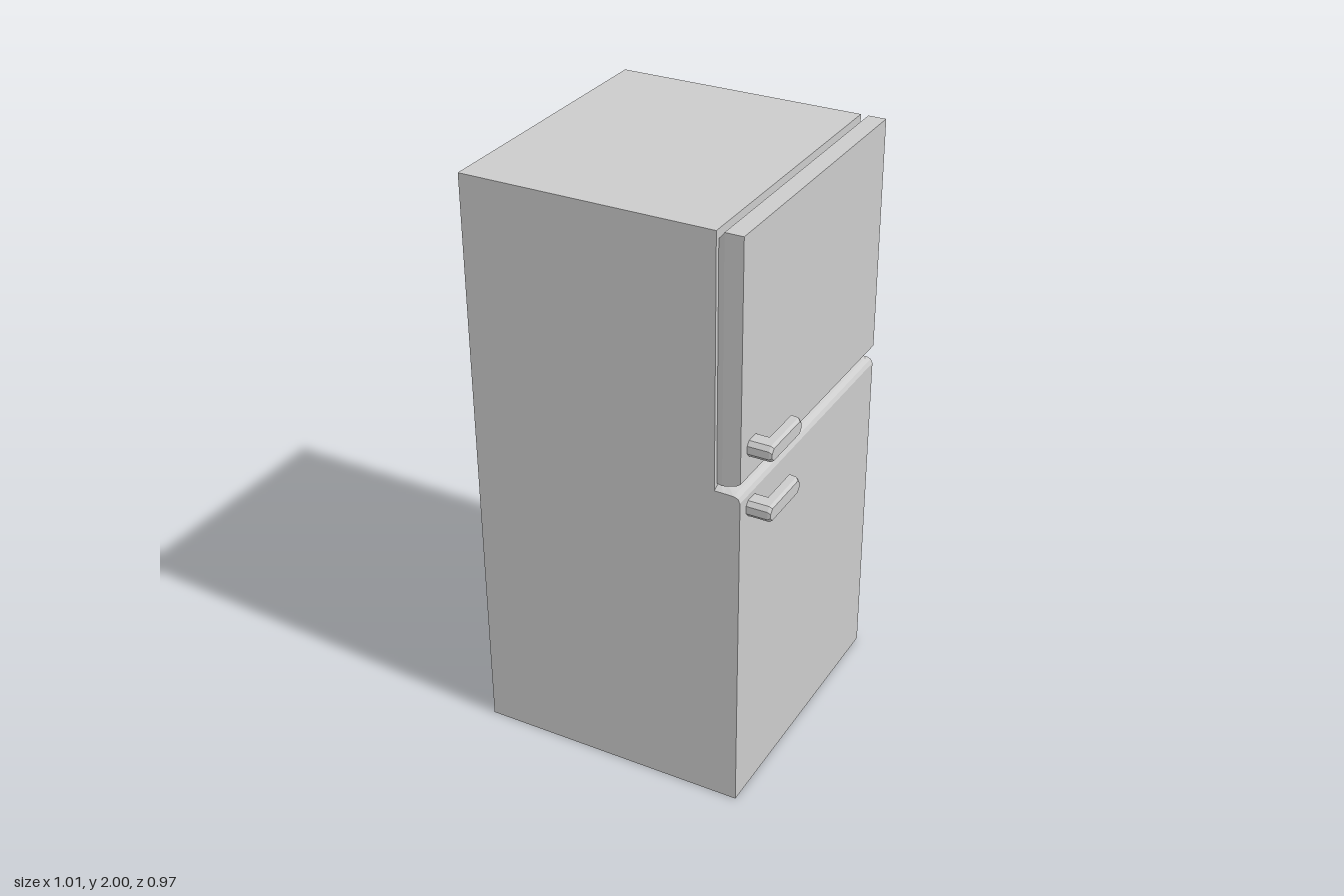
import * as THREE from 'three';

const material = new THREE.MeshStandardMaterial({ color: 0xcccccc, flatShading: true });

// Rectangle in (z, y) with corners cut by cb (bottom) and ct (top), each as [dz, dy]
function outline(z0, z1, y0, y1, cb = [0, 0], ct = [0, 0]) {
  return [
    [z1 - cb[0], y0], [z0 + cb[0], y0], [z0, y0 + cb[1]], [z0, y1 - ct[1]],
    [z0 + ct[0], y1], [z1 - ct[0], y1], [z1, y1 - ct[1]], [z1, y0 + cb[1]],
  ];
}

// Closed solid through outlines placed at increasing x: [[x, points], ...]
function loft(name, sections) {
  const rings = sections.map(([x, pts]) => pts.map(([z, y]) => [x, y, z]));
  const pos = [];
  const tri = (a, b, c) => pos.push(...a, ...b, ...c);
  const n = rings[0].length;
  for (let r = 0; r < rings.length - 1; r++) {
    const a = rings[r], b = rings[r + 1];
    for (let i = 0; i < n; i++) {
      const j = (i + 1) % n;
      tri(a[i], a[j], b[j]);
      tri(a[i], b[j], b[i]);
    }
  }
  const back = rings[0], front = rings[rings.length - 1];
  for (let i = 1; i < n - 1; i++) {
    tri(front[0], front[i], front[i + 1]);
    tri(back[0], back[i + 1], back[i]);
  }
  const geo = new THREE.BufferGeometry();
  geo.setAttribute('position', new THREE.Float32BufferAttribute(pos, 3));
  geo.computeVertexNormals();
  const mesh = new THREE.Mesh(geo, material);
  mesh.name = name;
  return mesh;
}

// L-shaped pull: a post at one end and a bar running along the door
function handle(name, y) {
  const g = new THREE.Group();
  g.name = name;
  const h = 0.027, cut = [0.012, 0.014];
  const bar = (z0, z1, k) => outline(z0, z1, y - k, y + k, cut, cut);
  g.add(
    loft('handlePost', [[0.42, bar(0.378, 0.446, h)], [0.475, bar(0.378, 0.446, h)]]),
    loft('handleBar', [
      [0.47, bar(0.232, 0.446, h)],
      [0.495, bar(0.236, 0.446, h)],
      [0.505, bar(0.245, 0.444, h - 0.006)],
    ]),
  );
  return g;
}

export function createModel() {
  const model = new THREE.Group();
  model.name = 'refrigerator';
  const w = 0.487;

  // Cabinet
  const cabinet = new THREE.Mesh(new THREE.BoxGeometry(0.845, 2, 2 * w), material);
  cabinet.name = 'cabinet';
  cabinet.position.set(-0.0825, 1, 0);
  model.add(cabinet);

  // Freezer door, chamfered at the back so a groove shows along the cabinet
  model.add(loft('freezerDoor', [
    [0.34, outline(-w + 0.015, w - 0.015, 1.178, 1.97)],
    [0.365, outline(-w, w, 1.184, 2)],
    [0.41, outline(-w, w, 1.196, 2)],
    [0.425, outline(-w, w, 1.206, 2)],
  ]));

  // Main door, its top edge sloping forward and rounding over
  const main = (top, cut) => outline(-w, w, 0, top, [0, 0], cut);
  model.add(loft('mainDoor', [
    [0.34, main(1.178, [0.035, 0.018])],
    [0.37, main(1.172, [0.03, 0.012])],
    [0.405, main(1.163, [0.02, 0.004])],
    [0.418, main(1.154, [0, 0])],
    [0.425, main(1.14, [0, 0])],
  ]));

  // Handles
  model.add(handle('freezerHandle', 1.303), handle('mainHandle', 1.095));
  return model;
}
